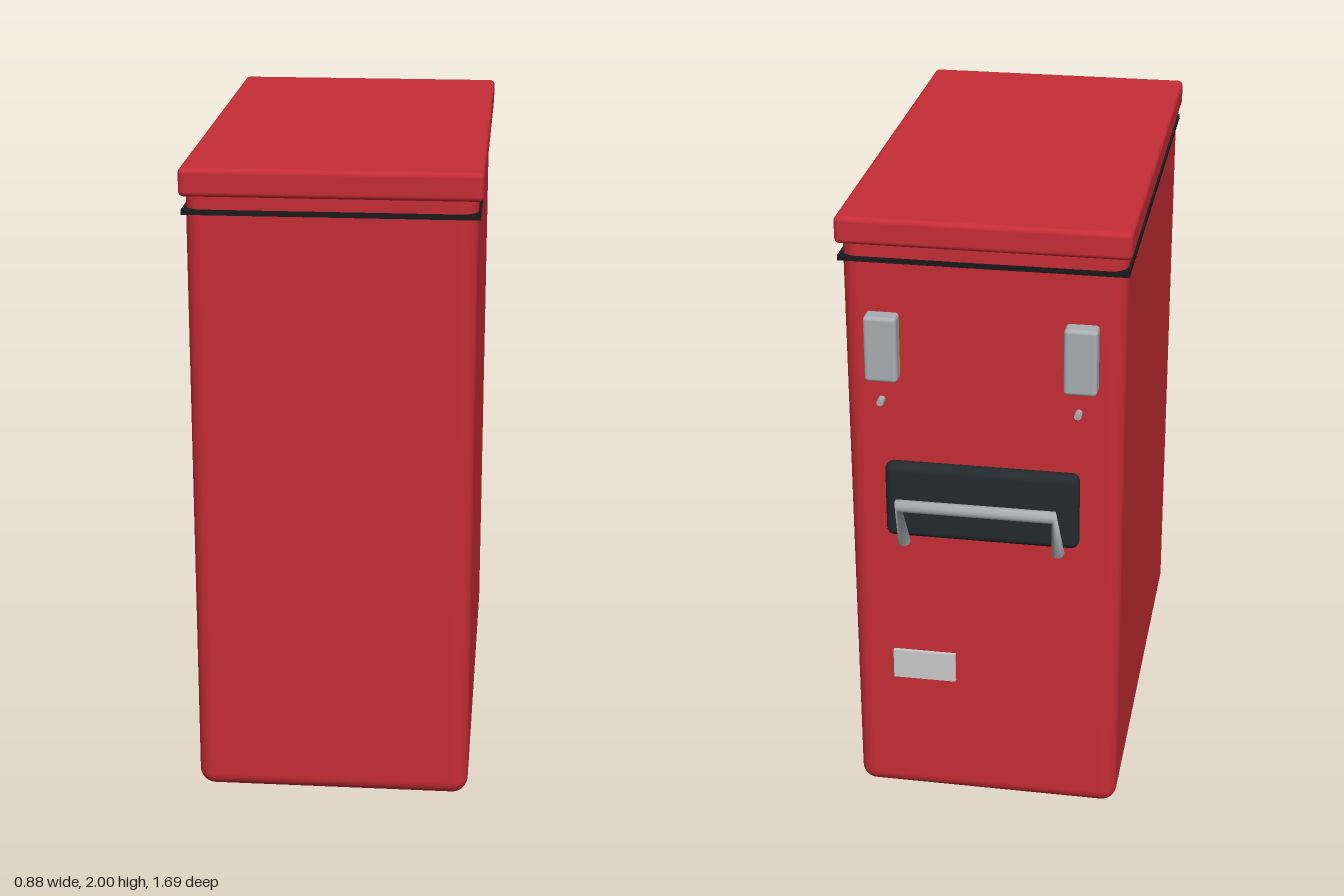
import * as THREE from 'three';
import { RoundedBoxGeometry } from 'three/addons/geometries/RoundedBoxGeometry.js';

const paint = (color) => new THREE.MeshStandardMaterial({ color });

// Straight-sided path whose samples land exactly on its corners
class Polyline extends THREE.Curve {
  constructor(points) {
    super();
    this.points = points;
  }
  getUtoTmapping(u) {
    return u;
  }
  getPoint(t, target = new THREE.Vector3()) {
    const n = this.points.length - 1;
    const i = Math.min(Math.floor(t * n), n - 1);
    return target.lerpVectors(this.points[i], this.points[i + 1], t * n - i);
  }
}

export function createModel() {
  const group = new THREE.Group();
  const red = paint(0xc62d35);
  const dark = paint(0x23292c);
  const black = paint(0x1a1a1c);
  const metal = paint(0xa9aeb1);
  const pale = paint(0xbfc2bf);

  const add = (name, geometry, material, x, y, z) => {
    const mesh = new THREE.Mesh(geometry, material);
    mesh.name = name;
    mesh.position.set(x, y, z);
    group.add(mesh);
    return mesh;
  };

  // Case, seal and lid
  add('body', new RoundedBoxGeometry(0.85, 1.97, 1.51, 5, 0.05), red, 0, 0.985, 0.075);
  add('seal', new THREE.BoxGeometry(0.865, 0.015, 1.523), black, 0, 1.87, 0.076);
  add('lid', new RoundedBoxGeometry(0.88, 0.085, 1.535, 3, 0.016), red, 0, 1.9575, 0.075);

  // Latches with their pins on the back
  for (const [side, s] of [['left', 1], ['right', -1]]) {
    add(side + 'Latch', new RoundedBoxGeometry(0.1, 0.21, 0.06, 3, 0.012), metal, s * 0.3, 1.605, -0.711);
    const pin = add(side + 'LatchPin', new THREE.CylinderGeometry(0.011, 0.011, 0.03, 12), metal, s * 0.298, 1.446, -0.751);
    pin.rotation.x = Math.PI / 2;
  }

  // Handle backing plate
  add('handlePlate', new RoundedBoxGeometry(0.6, 0.25, 0.055, 4, 0.025), dark, 0, 1.1, -0.708);

  // Carrying handle: two slanted arms joined by a bar
  const path = new Polyline([
    new THREE.Vector3(0.24, 0.968, -0.743),
    new THREE.Vector3(0.238, 1.137, -0.828),
    new THREE.Vector3(-0.238, 1.137, -0.828),
    new THREE.Vector3(-0.24, 0.968, -0.743),
  ]);
  const handleMetal = paint(0xa9aeb1);
  handleMetal.side = THREE.DoubleSide;
  add('handle', new THREE.TubeGeometry(path, 3, 0.02, 10), handleMetal, 0, 0, 0);

  // Blank label plate
  add('labelPlate', new THREE.BoxGeometry(0.2, 0.1, 0.012), pale, 0.19, 0.505, -0.716);

  return group;
}
